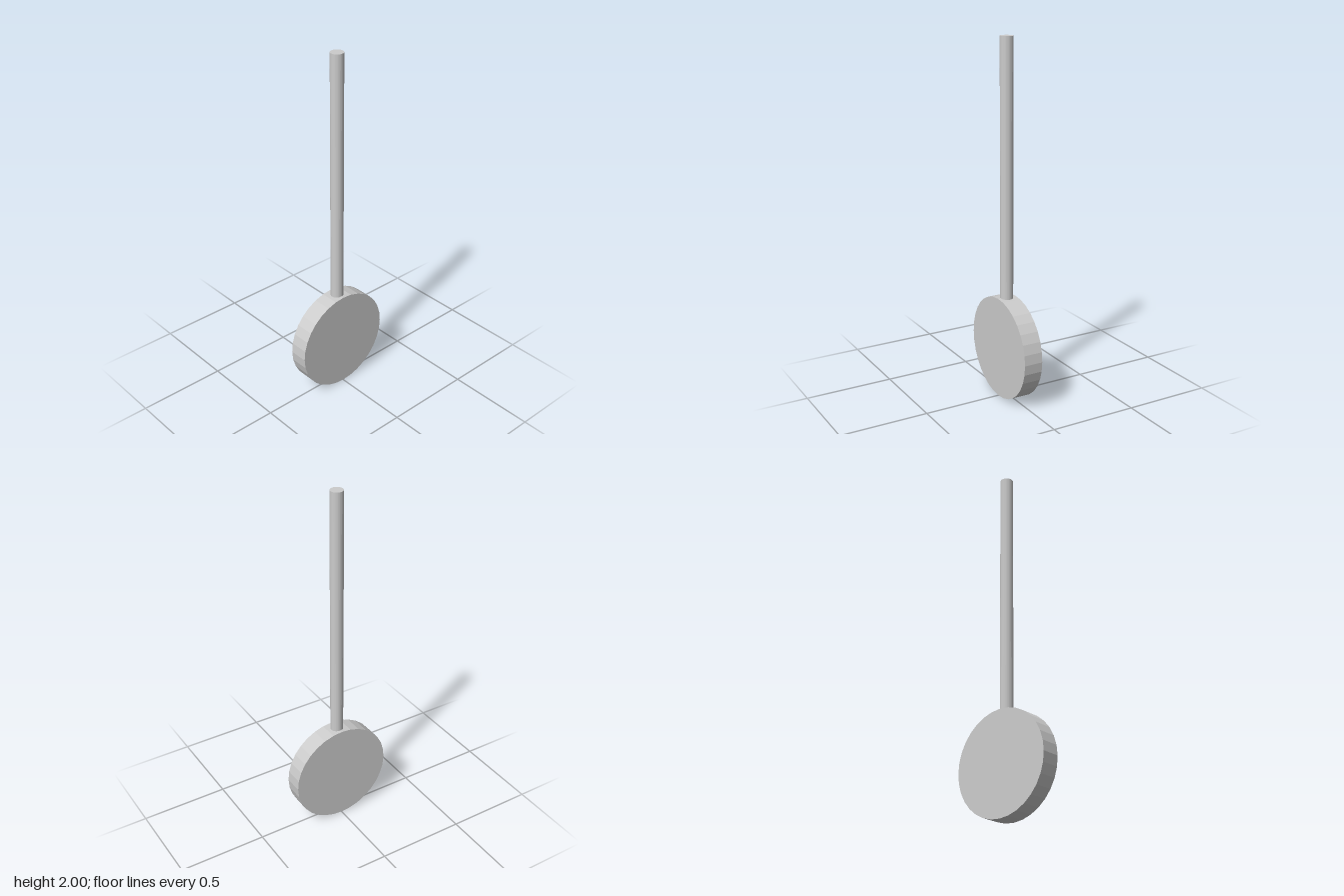
import * as THREE from 'three';

export function createModel() {
  const group = new THREE.Group();
  const discRadius = 0.289, discDepth = 0.108, rodRadius = 0.036;
  const rodBottom = 2 * discRadius - 0.004, rodLength = 2 - rodBottom;
  const material = new THREE.MeshStandardMaterial({ color: 0xcccccc, flatShading: true });

  // upright faceted disc, flat faces to front and back
  const disc = new THREE.Mesh(
    new THREE.CylinderGeometry(discRadius, discRadius, discDepth, 32).rotateX(Math.PI / 2),
    material
  );
  disc.name = 'disc';
  disc.position.y = discRadius;
  group.add(disc);

  // slim rod rising from the top of the disc
  const rod = new THREE.Mesh(
    new THREE.CylinderGeometry(rodRadius, rodRadius, rodLength, 32),
    material
  );
  rod.name = 'rod';
  rod.position.y = rodBottom + rodLength / 2;
  group.add(rod);

  return group;
}
